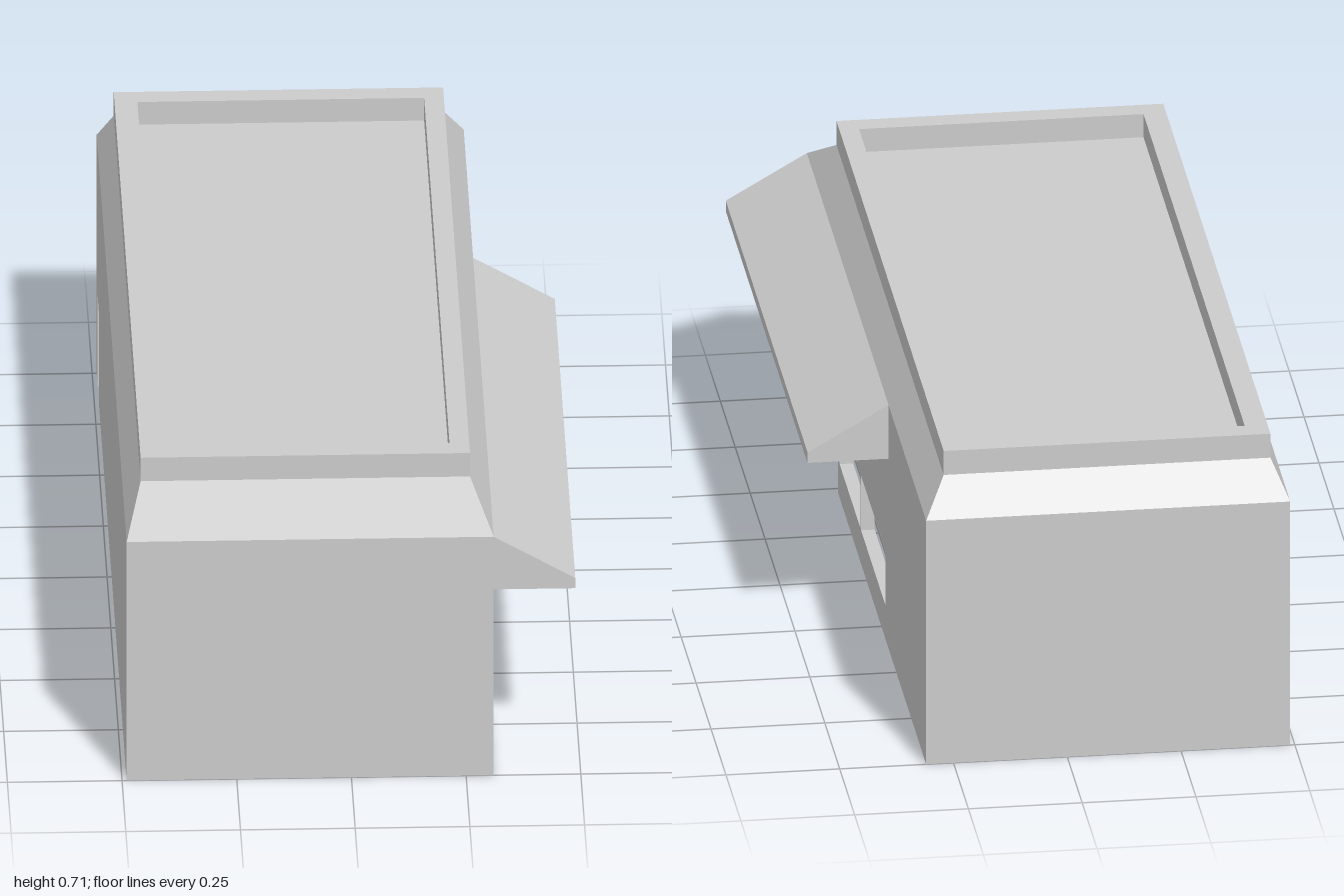
import * as THREE from 'three';

const material = new THREE.MeshStandardMaterial({ color: 0xcccccc, flatShading: true, side: THREE.DoubleSide });
const T = 0.03;                 // wall thickness
const L = -0.49, R = 0.31;      // outer side walls
const EAVES = 0.58, CEILING = 0.41;

function polygon(points) {
  return new THREE.Shape(points.map(([x, y]) => new THREE.Vector2(x, y)));
}

// Wall outline from u0 to u1 with an optional doorway reaching the ground
function wallShape(u0, u1, height, door, windows = []) {
  const pts = [[u0, 0]];
  if (door) {
    const [a, b, h] = door;
    pts.push([a, 0], [a, h], [b, h], [b, 0]);
  }
  pts.push([u1, 0], [u1, height], [u0, height]);
  const shape = polygon(pts);
  for (const [a, b, y0, y1] of windows) {
    shape.holes.push(polygon([[a, y0], [a, y1], [b, y1], [b, y0]]));
  }
  return shape;
}

// Roof skin: rectangular rings joined by quads, closed by a flat deck
function roofGeometry(rings) {
  const pos = [];
  const corners = ([x0, x1, z0, z1, y]) => [[x0, y, z1], [x1, y, z1], [x1, y, z0], [x0, y, z0]];
  const quad = (a, b, c, d) => pos.push(...a, ...b, ...c, ...a, ...c, ...d);
  for (let i = 0; i < rings.length - 1; i++) {
    const lo = corners(rings[i]), hi = corners(rings[i + 1]);
    for (let k = 0; k < 4; k++) {
      const n = (k + 1) % 4;
      quad(lo[k], lo[n], hi[n], hi[k]);
    }
  }
  quad(...corners(rings[rings.length - 1]));
  const g = new THREE.BufferGeometry();
  g.setAttribute('position', new THREE.Float32BufferAttribute(pos, 3));
  g.computeVertexNormals();
  return g;
}

export function createModel() {
  const group = new THREE.Group();
  const add = (name, geometry) => {
    const mesh = new THREE.Mesh(geometry, material);
    mesh.name = name;
    group.add(mesh);
    return mesh;
  };
  const extrude = (shape, depth) => new THREE.ExtrudeGeometry(shape, { depth, bevelEnabled: false });
  // Side walls are drawn in (z, y) and extruded towards -x
  const sideWall = (name, shape, x) => {
    add(name, extrude(shape, T).rotateY(-Math.PI / 2)).position.x = x;
  };
  // Cross walls are drawn in (x, y) and extruded towards +z
  const crossWall = (name, shape, z) => {
    add(name, extrude(shape, T)).position.z = z;
  };

  // Shop side with doorway and three windows
  sideWall('shopWall', wallShape(-1, 1, EAVES, [0.48, 0.71, 0.23], [
    [0.74, 0.95, 0.08, 0.21],
    [0.10, 0.45, 0.08, 0.21],
    [-0.32, 0.09, 0.08, 0.21],
  ]), R);

  // Plain side with a narrow back door
  sideWall('plainWall', wallShape(-1, 1, EAVES, [-0.935, -0.85, 0.22]), L + T);

  // End walls and the inner partition
  crossWall('frontWall', wallShape(L + T, R - T, EAVES), 1 - T);
  crossWall('backWall', wallShape(L + T, R - T, EAVES), -1);
  crossWall('partition', wallShape(L + T, R - T, CEILING, [-0.42, -0.345, 0.21]), -0.355);

  // Ceiling over both rooms
  add('ceiling', new THREE.BoxGeometry(R - L - 2 * T, EAVES - CEILING, 2 - 2 * T))
    .position.set((L + R) / 2, (EAVES + CEILING) / 2, 0);

  // Sloped roof, parapet and sunken deck
  add('roof', roofGeometry([
    [L, R, -1, 1, EAVES],
    [-0.455, 0.263, -0.935, 0.86, 0.658],
    [-0.455, 0.263, -0.935, 0.86, 0.715],
    [-0.405, 0.22, -0.885, 0.81, 0.715],
    [-0.405, 0.22, -0.885, 0.81, 0.66],
  ]));

  // Wedge awning over the shop side
  const awning = polygon([[R, 0.452], [0.488, 0.452], [0.488, 0.477], [R, EAVES]]);
  add('awning', extrude(awning, 1.37)).position.z = -0.37;

  return group;
}
